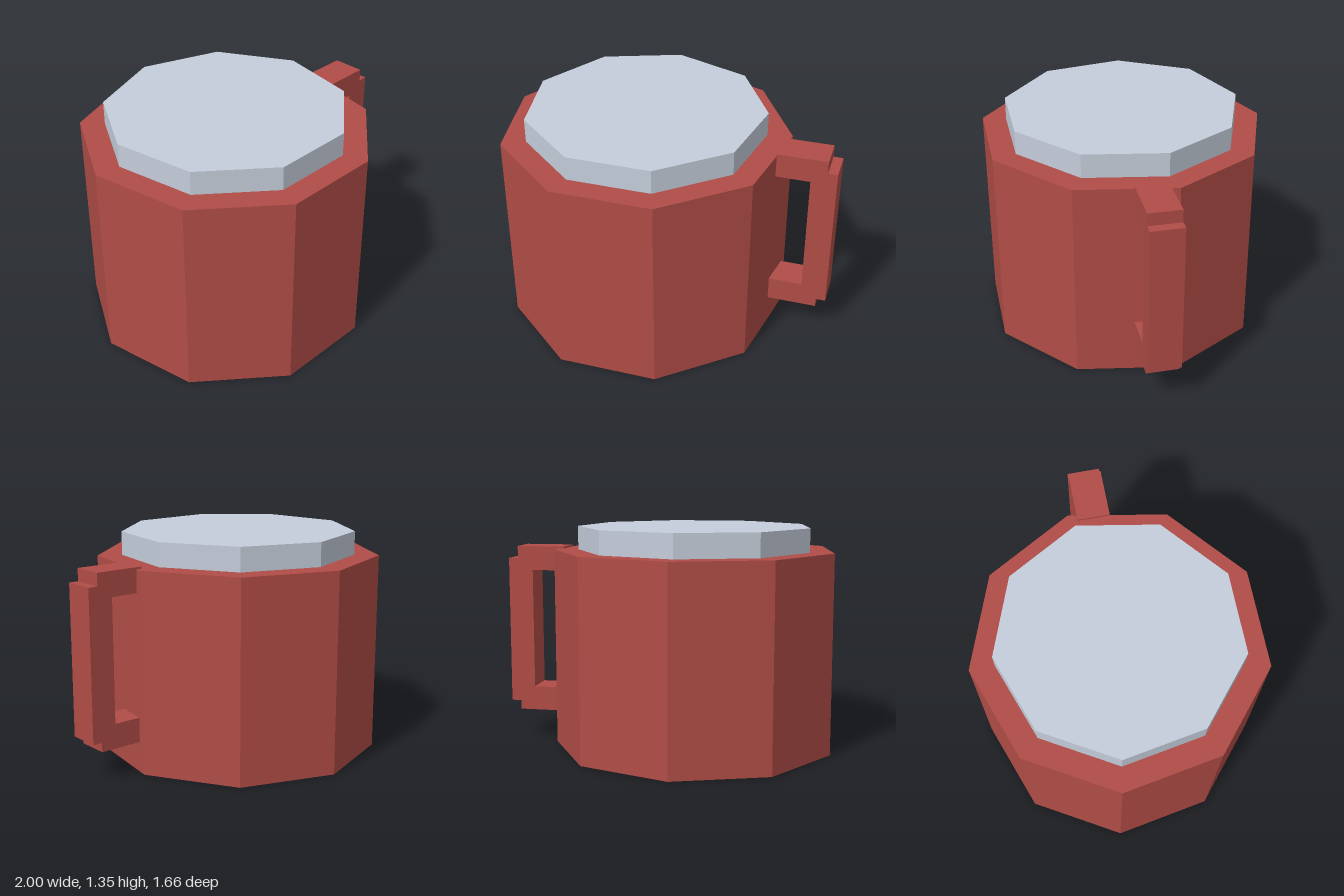
import * as THREE from 'three';

const SIDES = 9;
const CENTER_X = -0.155;
const CENTER_Z = 0.023;

function material(name, color) {
  const m = new THREE.MeshStandardMaterial({ color });
  m.name = name;
  return m;
}

// Nine-sided prism with a corner pointing to the back
function prism(name, radius, bottom, top, mat) {
  const geometry = new THREE.CylinderGeometry(radius, radius, top - bottom, SIDES, 1, false, Math.PI).toNonIndexed();
  geometry.computeVertexNormals();
  const mesh = new THREE.Mesh(geometry, mat);
  mesh.name = name;
  mesh.position.set(CENTER_X, (bottom + top) / 2, CENTER_Z);
  return mesh;
}

// Blocky C-shaped handle: two arms joined by an upright grip
function createHandle(mat) {
  const depth = 0.193;
  const outline = [
    [0.645, 0.185], [0.942, 0.185], [0.942, 0.24], [1, 0.24],
    [1, 1.14], [0.942, 1.14], [0.942, 1.215], [0.645, 1.215],
    [0.645, 1.068], [0.848, 1.068], [0.848, 0.333], [0.645, 0.333],
  ].map(([x, y]) => new THREE.Vector2(x, y));
  const geometry = new THREE.ExtrudeGeometry(new THREE.Shape(outline), { depth, bevelEnabled: false });
  const mesh = new THREE.Mesh(geometry, mat);
  mesh.name = 'handle';
  mesh.position.z = CENTER_Z - depth / 2;
  return mesh;
}

export function createModel() {
  const red = material('red', 0xb04c46);
  const silver = material('silver', 0xc4cdda);

  const model = new THREE.Group();
  model.name = 'mug';
  model.add(
    prism('body', 0.858, 0, 1.203, red),
    prism('lid', 0.711, 1.203, 1.345, silver),
    createHandle(red),
  );
  return model;
}
